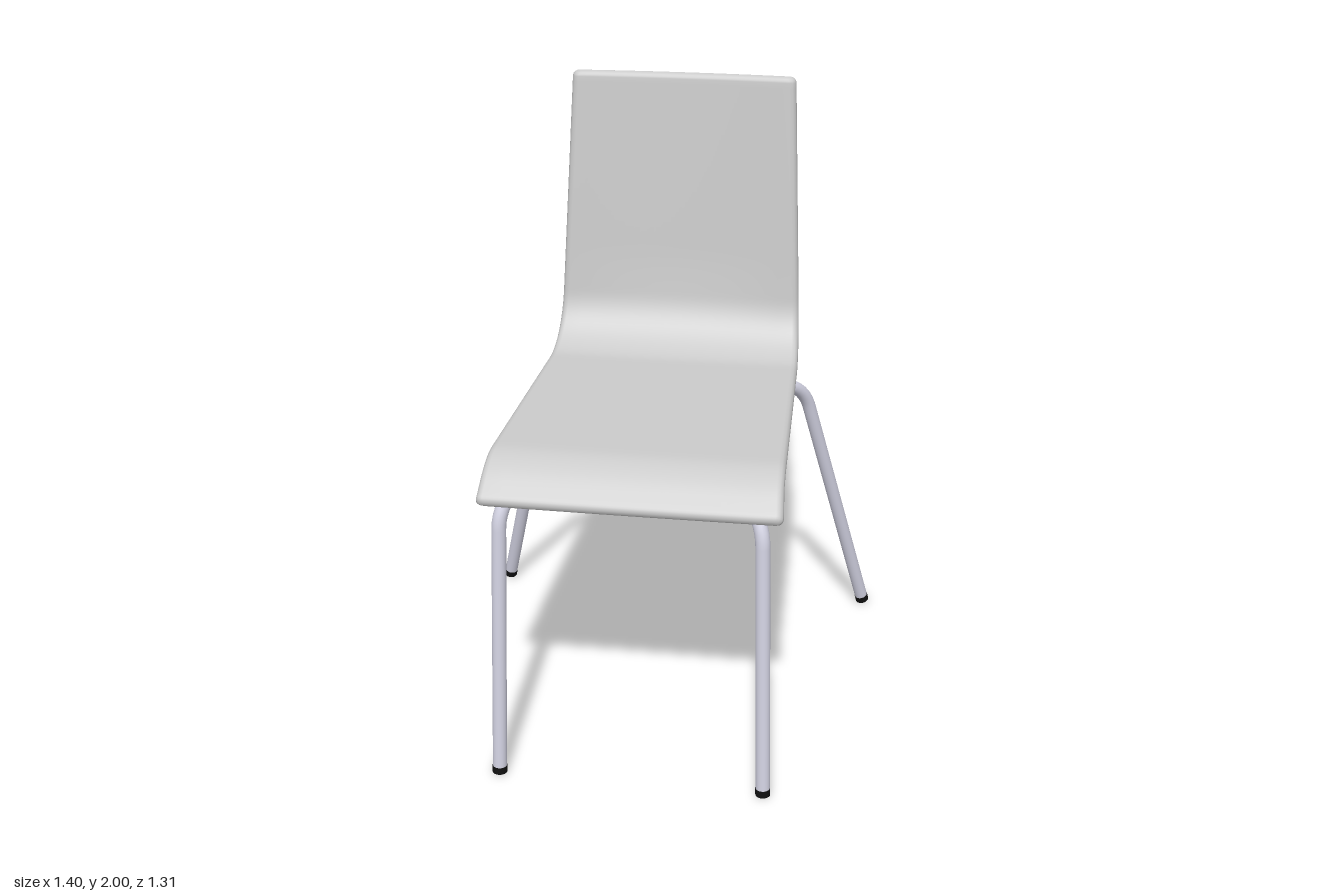
import * as THREE from 'three';

const seatMat = new THREE.MeshStandardMaterial({ color: 0xcccccc });
const tubeMat = new THREE.MeshStandardMaterial({ color: 0xd4d4e4 });
const footMat = new THREE.MeshStandardMaterial({ color: 0x111111 });

// Path of straight runs joined by round bends of the given radii
function bentPath(points, radii) {
  const path = new THREE.CurvePath();
  let from = points[0];
  for (let i = 1; i < points.length - 1; i++) {
    const p = points[i];
    const a = points[i - 1].clone().sub(p).normalize();
    const b = points[i + 1].clone().sub(p).normalize();
    const turn = Math.PI - a.angleTo(b);
    const R = radii[i - 1];
    const cut = R * Math.tan(turn / 2);
    const k = cut - (4 / 3) * Math.tan(turn / 4) * R;
    const start = p.clone().addScaledVector(a, cut);
    const end = p.clone().addScaledVector(b, cut);
    path.add(new THREE.LineCurve3(from, start));
    path.add(new THREE.CubicBezierCurve3(start,
      p.clone().addScaledVector(a, k), p.clone().addScaledVector(b, k), end));
    from = end;
  }
  path.add(new THREE.LineCurve3(from, points[points.length - 1]));
  return path;
}

// Bent shell: a round-edged section swept from the front lip to the top of the back
function shellGeometry() {
  const h = 0.022, flat = 16, round = 6, steps = 110, capSteps = 5;
  const path = bentPath([
    new THREE.Vector3(0, 0.968, 0.63),
    new THREE.Vector3(0, 1.053, 0.535),
    new THREE.Vector3(0, 1.053, -0.468),
    new THREE.Vector3(0, 1.981, -0.541),
  ], [0.19, 0.205]);

  // Stations along the path, with rounded ends
  const stations = [];
  for (let i = 0; i < capSteps; i++) stations.push([0, -Math.PI / 2 * (1 - i / capSteps)]);
  for (let i = 0; i <= steps; i++) stations.push([i / steps, 0]);
  for (let i = 1; i <= capSteps; i++) stations.push([1, Math.PI / 2 * i / capSteps]);

  // Section as [side, flat position, rounded x, thickness]
  const ring = [];
  for (const s of [1, -1]) {
    for (let j = 0; j <= flat; j++) ring.push([s * (1 - 2 * j / flat), 0, s]);
    for (let j = 1; j < round; j++) {
      const a = Math.PI * j / round;
      ring.push([-s, -s * Math.sin(a), s * Math.cos(a)]);
    }
  }

  const pos = [], index = [], n = ring.length;
  for (const [t, e] of stations) {
    const c = path.getPointAt(t), d = path.getTangentAt(t);
    const normal = new THREE.Vector3(0, -d.z, d.y);
    c.addScaledVector(d, h * 0.9 * Math.sin(e));
    const shrink = Math.cos(e);
    const width = 0.435 + 0.034 * c.z - 0.045 * Math.max(0, c.y - 1.053)
      + 0.06 * Math.max(0, 1.03 - c.y) - h * (1 - shrink);
    const sag = 0.003 + 0.013 * THREE.MathUtils.smoothstep(c.y, 1.06, 1.4);
    for (const [u, edge, v] of ring) {
      const off = v * h * shrink - sag * (1 - u * u);
      pos.push(u * (width - h) + edge * h, c.y + normal.y * off, c.z + normal.z * off);
    }
  }
  for (let i = 0; i < stations.length - 1; i++) {
    for (let j = 0; j < n; j++) {
      const a = i * n + j, c = i * n + (j + 1) % n;
      index.push(a, a + n, c, a + n, c + n, c);
    }
  }
  const geo = new THREE.BufferGeometry();
  geo.setAttribute('position', new THREE.Float32BufferAttribute(pos, 3));
  geo.setIndex(index);
  geo.computeVertexNormals();
  return geo;
}

// One diagonal tube: front leg, rail under the seat, opposite back leg
function legFrame(side) {
  const frame = new THREE.Group();
  const at = (s, y) => new THREE.Vector3(side * 0.656 * s, y, 0.15 + 0.755 * s);
  const path = bentPath(
    [at(0.643, 0.001), at(0.603, 1.006), at(-0.667, 1.006), at(-1.033, 0.009)],
    [0.15, 0.17]);
  const tube = new THREE.Mesh(new THREE.TubeGeometry(path, 140, 0.0225, 20), tubeMat);
  tube.name = 'legTube';
  frame.add(tube);

  // Caps on both feet
  for (const t of [0, 1]) {
    const up = path.getTangentAt(t).multiplyScalar(t ? -1 : 1);
    const foot = new THREE.Mesh(new THREE.CylinderGeometry(0.0235, 0.0235, 0.024, 20), footMat);
    foot.position.copy(path.getPointAt(t)).addScaledVector(up, 0.012);
    foot.quaternion.setFromUnitVectors(new THREE.Vector3(0, 1, 0), up);
    foot.name = t ? 'backFoot' : 'frontFoot';
    frame.add(foot);
  }
  return frame;
}

export function createModel() {
  const chair = new THREE.Group();
  chair.name = 'chair';

  const shell = new THREE.Mesh(shellGeometry(), seatMat);
  shell.name = 'seatAndBack';
  chair.add(shell);

  for (const side of [1, -1]) {
    const frame = legFrame(side);
    frame.name = side > 0 ? 'frontLeftToBackRightLegs' : 'frontRightToBackLeftLegs';
    chair.add(frame);
  }
  return chair;
}
